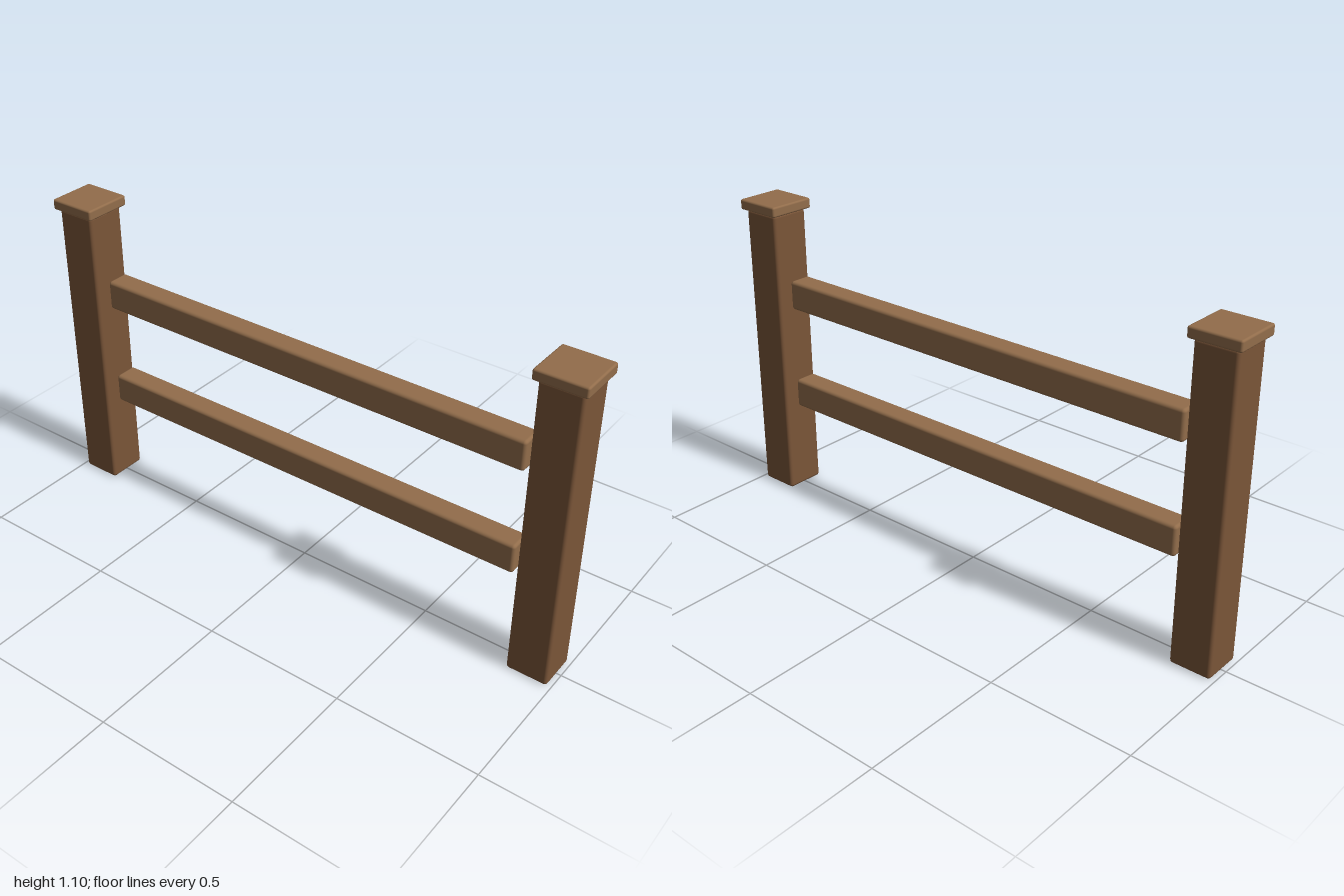
import * as THREE from 'three';
import { RoundedBoxGeometry } from 'three/addons/geometries/RoundedBoxGeometry.js';

export function createModel() {
  const group = new THREE.Group();
  group.name = 'fenceSection';
  const darkWood = new THREE.MeshStandardMaterial({ color: 0x7a5538 });
  const lightWood = new THREE.MeshStandardMaterial({ color: 0x926d4b });

  // Beam with softened edges, placed by the height of its underside
  const addBeam = (name, [w, h, d], x, bottom, radius, material) => {
    const mesh = new THREE.Mesh(new RoundedBoxGeometry(w, h, d, 2, radius), material);
    mesh.name = name;
    mesh.position.set(x, bottom + h / 2, 0);
    group.add(mesh);
  };

  // Posts with overhanging caps
  for (const [side, s] of [['left', 1], ['right', -1]]) {
    addBeam(side + 'Post', [0.143, 1.06, 0.143], s * 0.914, 0, 0.011, darkWood);
    addBeam(side + 'PostCap', [0.172, 0.037, 0.172], s * 0.914, 1.059, 0.007, lightWood);
  }

  // Horizontal rails, ending just short of the posts
  addBeam('lowerRail', [1.63, 0.105, 0.082], 0, 0.342, 0.011, lightWood);
  addBeam('upperRail', [1.63, 0.105, 0.082], 0, 0.719, 0.011, lightWood);

  return group;
}
